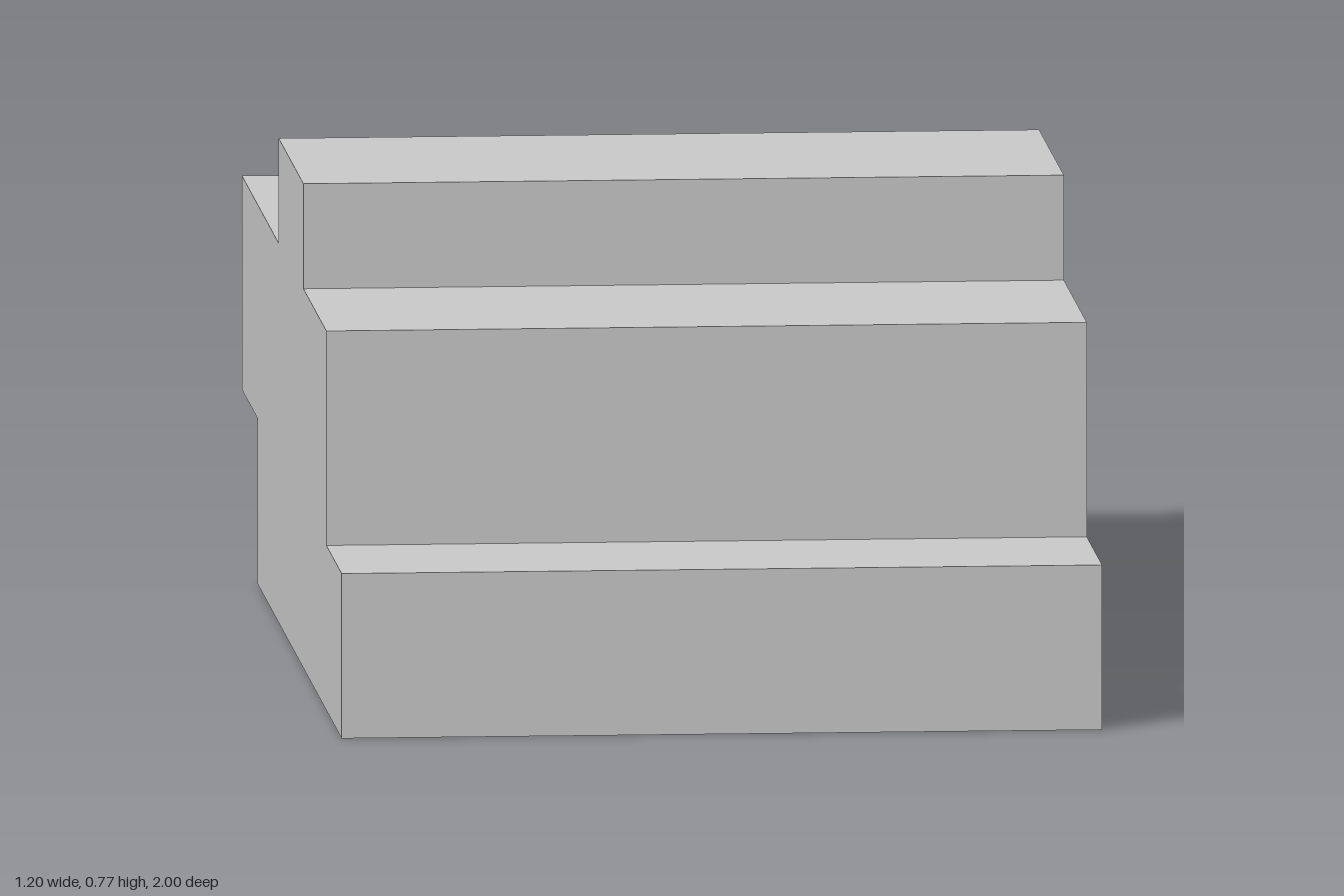
import * as THREE from 'three';

export function createModel() {
  const group = new THREE.Group();
  const width = 1.2;

  // Stepped side profile as [z, y], counter-clockwise from the rear foot
  const profile = [
    [-0.685, 0], [1, 0],
    [1, 0.262], [0.693, 0.262],    // front step
    [0.693, 0.603], [0.233, 0.603], // middle step
    [0.233, 0.77], [-0.263, 0.77],  // raised top
    [-0.263, 0.603], [-1, 0.603],   // rear deck
    [-1, 0.263], [-0.685, 0.263],   // rear overhang
  ];
  const shape = new THREE.Shape(profile.map(([z, y]) => new THREE.Vector2(z, y)));

  // Extrude across the width and turn the profile to run along z
  const geometry = new THREE.ExtrudeGeometry(shape, { depth: width, bevelEnabled: false });
  geometry.translate(0, 0, -width / 2);
  geometry.rotateY(-Math.PI / 2);

  const block = new THREE.Mesh(
    geometry,
    new THREE.MeshStandardMaterial({ color: 0xcccccc, flatShading: true })
  );
  block.name = 'steppedBlock';
  group.add(block);
  return group;
}
